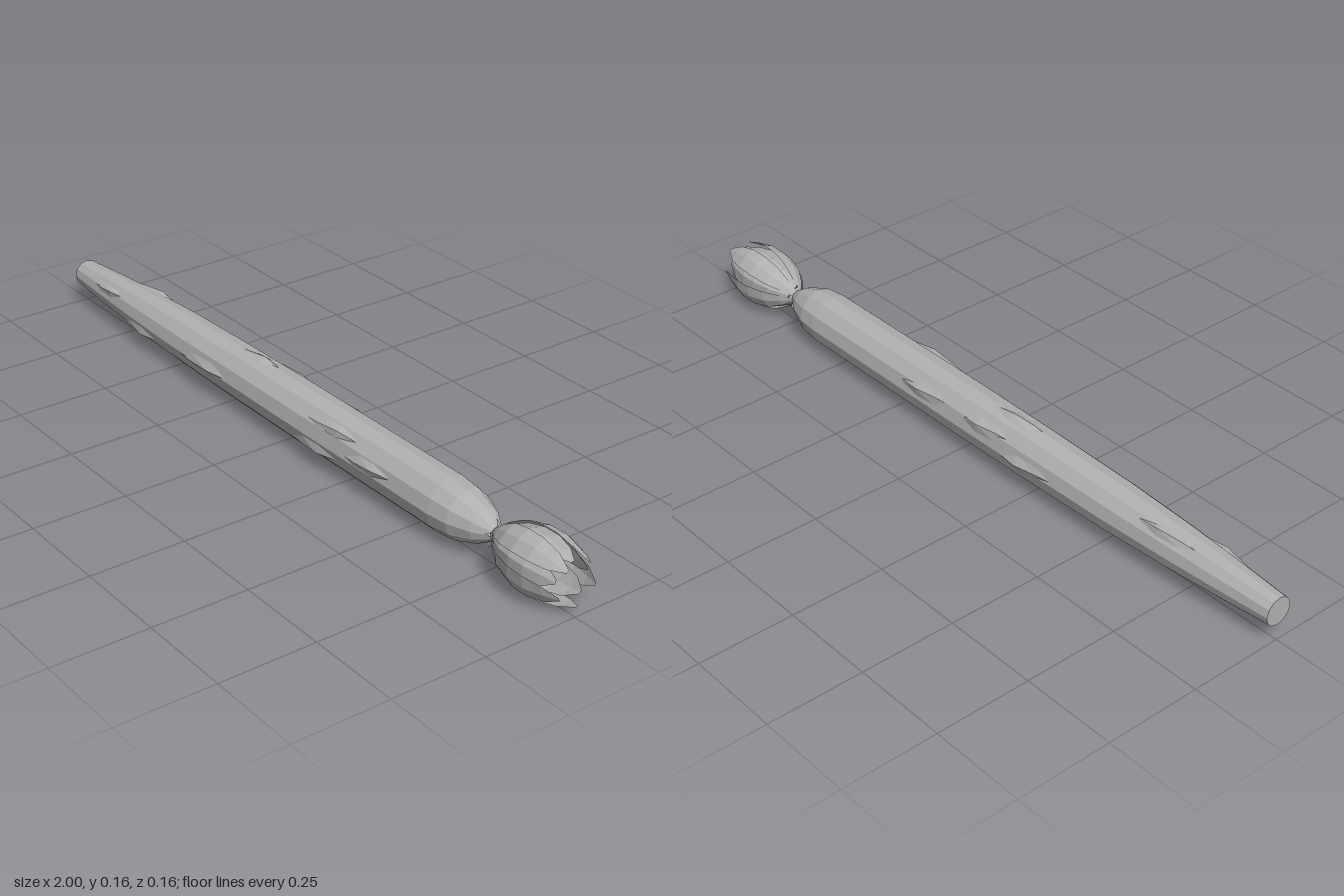
import * as THREE from 'three';

const CY = 0.086, CZ = -0.002;
// stalk outline: [x, radius]
const PROFILE = [
  [-1, 0.037], [-0.85, 0.048], [-0.7, 0.057], [-0.5, 0.065], [-0.25, 0.069], [0, 0.071],
  [0.58, 0.071], [0.64, 0.065], [0.7, 0.044], [0.74, 0.018],
];

function stalkRadius(x) {
  for (let i = 1; i < PROFILE.length; i++) {
    const [x0, r0] = PROFILE[i - 1], [x1, r1] = PROFILE[i];
    if (x <= x1) return r0 + (r1 - r0) * (x - x0) / (x1 - x0);
  }
  return 0.018;
}

const polar = (x, r, a) => [x, r * Math.sin(a), r * Math.cos(a)];

// surface through equal-length cross-section rows
function loft(rows) {
  const n = rows[0].length, index = [];
  for (let i = 0; i < rows.length - 1; i++) {
    for (let j = 0; j < n - 1; j++) {
      const a = i * n + j, b = a + n;
      index.push(a, b, a + 1, a + 1, b, b + 1);
    }
  }
  const g = new THREE.BufferGeometry();
  g.setAttribute('position', new THREE.Float32BufferAttribute(rows.flat(2), 3));
  g.setIndex(index);
  g.computeVertexNormals();
  return g;
}

export function createModel() {
  const model = new THREE.Group();
  const grey = new THREE.MeshStandardMaterial({ color: 0xb0b0b0, flatShading: true, side: THREE.DoubleSide });
  grey.name = 'grey';
  const add = (geometry, name) => {
    const mesh = new THREE.Mesh(geometry, grey);
    mesh.name = name;
    mesh.position.set(0, CY, CZ);
    model.add(mesh);
  };

  // faceted stalk with closed ends
  const outline = [[-1, 0], ...PROFILE, [0.74, 0]].map(([x, r]) => new THREE.Vector2(r, x));
  add(new THREE.LatheGeometry(outline, 12).rotateZ(-Math.PI / 2), 'stalk');

  // low pointed scales lying on the stalk: [x, angle, length]
  const scales = [
    [-0.82, 0.5, 0.16], [-0.62, -1.5, 0.22], [-0.7, 2.2, 0.2], [-0.66, -0.5, 0.2],
    [-0.33, 0, 0.24], [-0.17, 1.6, 0.18], [-0.25, 3.1, 0.2], [-0.1, 2.6, 0.18],
    [0.13, -1.5, 0.22], [0.2, 0.7, 0.2], [0.14, -0.4, 0.2], [0.12, 2.7, 0.2], [0.35, 0.2, 0.18],
  ];
  for (const [x, a, len] of scales) {
    const rows = [[-0.5, 0.04, -0.004], [-0.2, 0.32, 0.003], [0.15, 0.36, 0.008], [0.5, 0.06, -0.003]].map(([t, w, lift]) =>
      [-1, 0, 1].map((s) => {
        const px = x + t * len;
        return polar(px, stalkRadius(px) + (s ? -0.003 : lift), a + s * w + t * 0.25);
      }));
    add(loft(rows), 'scale');
  }

  // flower head: two rings of five cupped petals
  const petalRows = [
    [0.735, 0.012, 0.3], [0.77, 0.042, 0.45], [0.81, 0.066, 0.45], [0.86, 0.079, 0.42],
    [0.91, 0.08, 0.4], [0.96, 0.069, 0.34], [1, 0.055, 0.08],
  ];
  for (let ring = 0; ring < 2; ring++) {
    for (let i = 0; i < 5; i++) {
      const a = -Math.PI / 2 + (i + ring / 2) * Math.PI * 2 / 5;
      const rows = petalRows.map(([x, r, w]) => [-1, 0, 1].map((s) =>
        polar(x - ring * 0.02 * (x - 0.735) / 0.265, r * (ring ? 0.88 : 1), a + s * w * (ring ? 1.4 : 1))));
      add(loft(rows), ring ? 'innerPetal' : 'outerPetal');
    }
  }

  // small sepals at the neck
  for (let i = 0; i < 5; i++) {
    const a = Math.PI / 2 + i * Math.PI * 2 / 5;
    const rows = [[0.73, 0.012, 0.3], [0.745, 0.024, 0.2], [0.738, 0.036, 0.02]].map(([x, r, w]) =>
      [-1, 1].map((s) => polar(x, r, a + s * w)));
    add(loft(rows), 'sepal');
  }
  return model;
}
